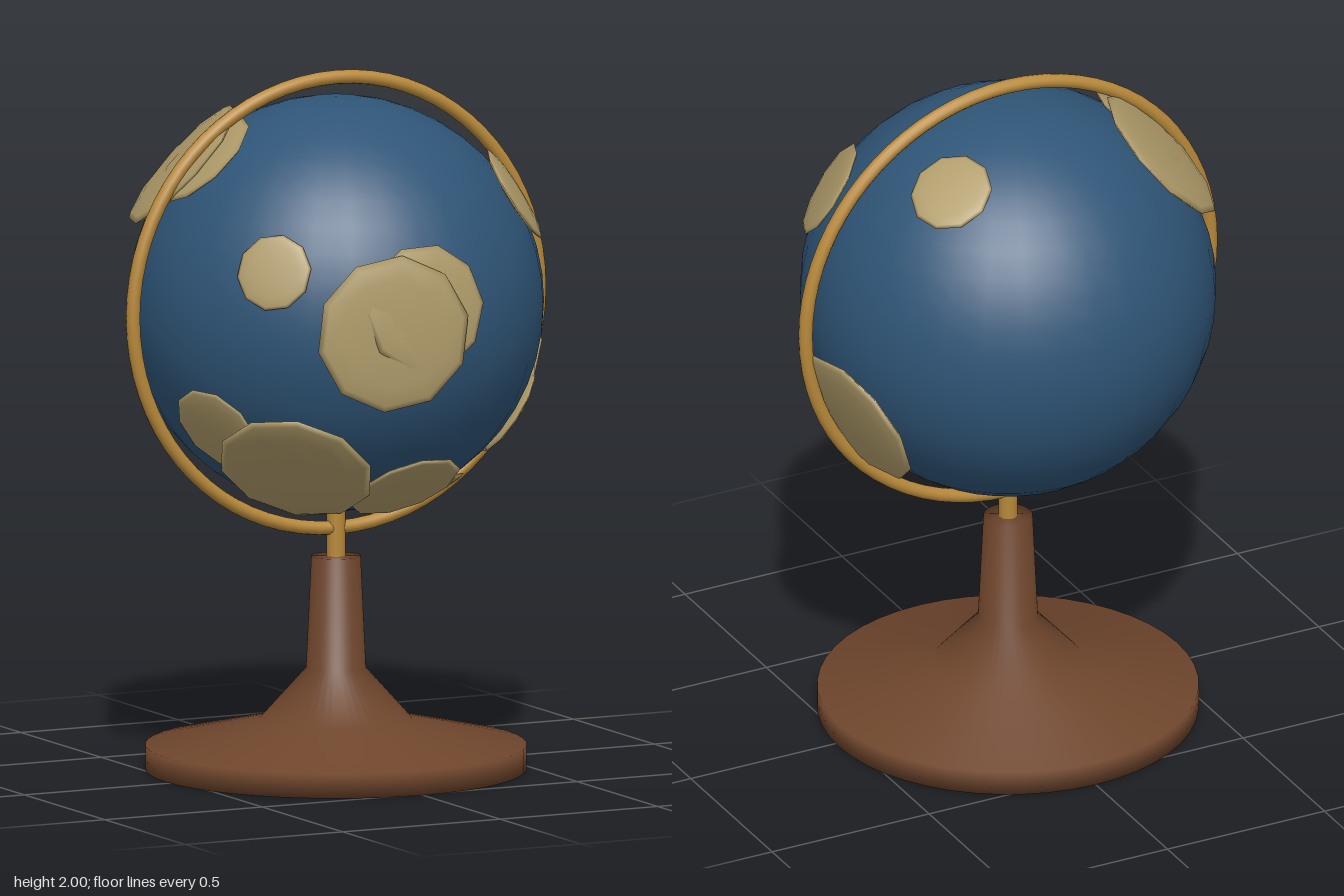
import * as THREE from 'three';

const CENTRE = new THREE.Vector3(0, 1.335, -0.02);
const RADIUS = 0.59;

const material = (color) => new THREE.MeshStandardMaterial({ color });
const ocean = material(0x2f5577);
const land = material(0xb09c6a);
const brass = material(0xb8893a);
const wood = material(0x6e452c);

function add(parent, name, geometry, mat, x = 0, y = 0, z = 0) {
  const mesh = new THREE.Mesh(geometry, mat);
  mesh.name = name;
  mesh.position.set(x, y, z);
  parent.add(mesh);
  return mesh;
}

// Land masses: direction from the globe centre (x, y, z) and disc radius
const PATCHES = [
  [-0.115, 0.0, 0.58, 0.225],
  [-0.02, 0.065, 0.585, 0.185],
  [-0.4, 0.17, 0.4, 0.11],
  [-0.405, 0.4, -0.155, 0.225],
  [-0.4, 0.43, -0.04, 0.17],
  [0.44, 0.31, 0.24, 0.147],
  [0.29, 0.475, -0.21, 0.12],
  [0.53, -0.235, -0.1, 0.222],
  [0.487, -0.32, 0.09, 0.15],
  [0.47, -0.325, 0.15, 0.13],
  [-0.29, -0.41, 0.318, 0.225],
  [-0.47, -0.3, 0.19, 0.14],
  [0.045, -0.48, 0.34, 0.165],
  [0.17, -0.52, 0.22, 0.12],
];

export function createModel() {
  const group = new THREE.Group();

  // Turned wooden base with a flared foot
  const profile = [[0, 0], [0.54, 0], [0.54, 0.07], [0.215, 0.145], [0.085, 0.29], [0.07, 0.61], [0, 0.61]]
    .map(([r, y]) => new THREE.Vector2(r, y));
  add(group, 'base', new THREE.LatheGeometry(profile, 48), wood, 0, 0, CENTRE.z);

  // Brass pin between base and globe
  add(group, 'pin', new THREE.CylinderGeometry(0.027, 0.027, 0.16, 12), brass, 0, 0.68, CENTRE.z);

  // Meridian ring around the globe
  add(group, 'meridianRing', new THREE.TorusGeometry(0.645, 0.02, 12, 72), brass, ...CENTRE);

  // Globe
  add(group, 'globe', new THREE.SphereGeometry(RADIUS, 32, 24), ocean, ...CENTRE);

  // Flattened discs lying tangent to the globe
  const continents = new THREE.Group();
  continents.name = 'continents';
  continents.position.copy(CENTRE);
  group.add(continents);
  const up = new THREE.Vector3(0, 1, 0);
  PATCHES.forEach(([x, y, z, r], i) => {
    const dir = new THREE.Vector3(x, y, z).normalize();
    const patch = add(continents, `landPatch${i + 1}`, new THREE.SphereGeometry(r, 10, 8), land);
    patch.scale.y = 0.11;
    patch.position.copy(dir).multiplyScalar(RADIUS + 0.003);
    patch.quaternion.setFromUnitVectors(up, dir);
  });

  return group;
}
